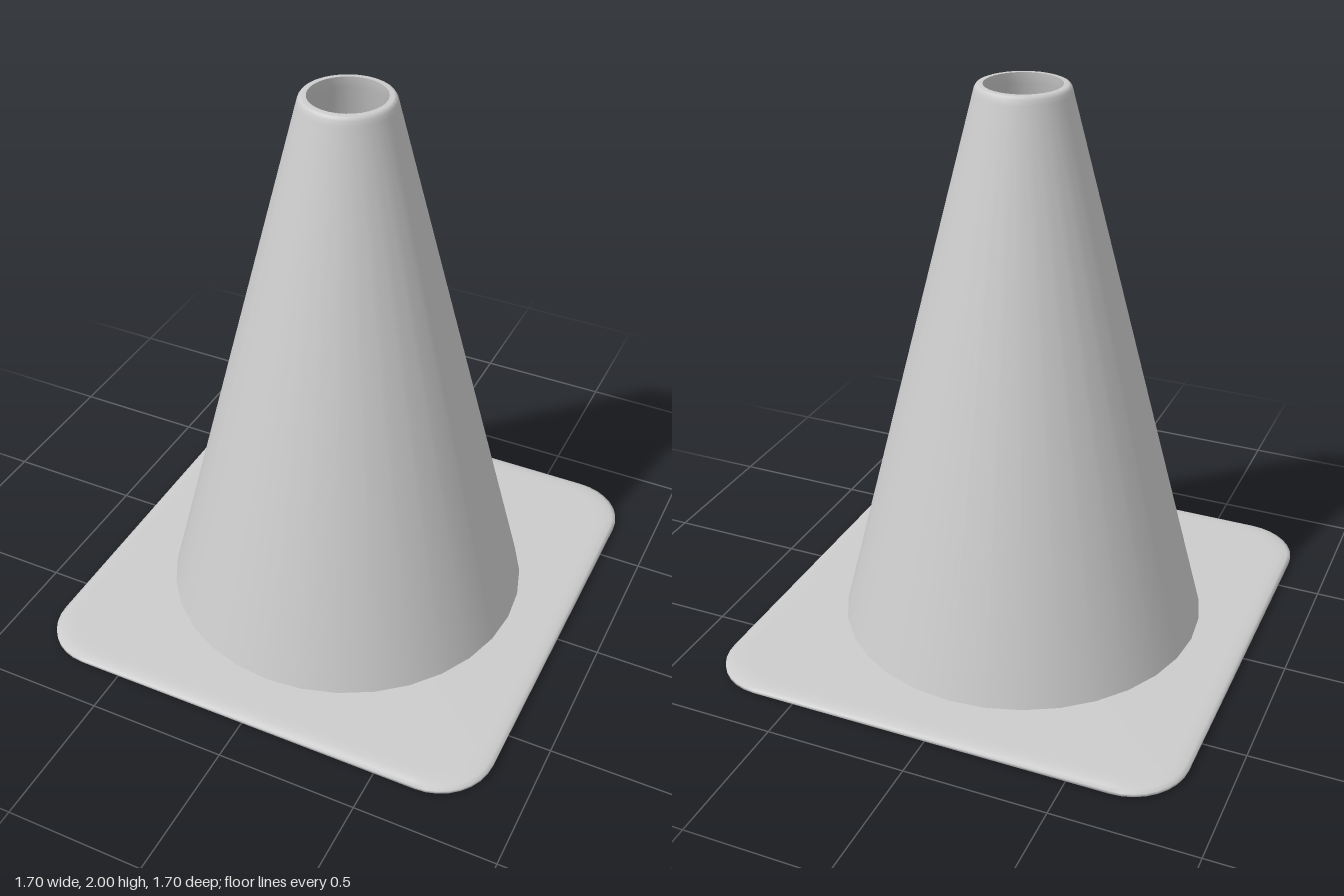
import * as THREE from 'three';

// Outline of a rounded square as [x, z] points, running from +x towards +z
function roundedSquare(half, radius, steps) {
  const points = [];
  for (let corner = 0; corner < 4; corner++) {
    const mid = (corner + 0.5) * Math.PI / 2;
    const cx = Math.sign(Math.cos(mid)) * (half - radius);
    const cz = Math.sign(Math.sin(mid)) * (half - radius);
    for (let i = 0; i <= steps; i++) {
      const a = (corner + i / steps) * Math.PI / 2;
      points.push([cx + radius * Math.cos(a), cz + radius * Math.sin(a)]);
    }
  }
  return points;
}

// Stacks scaled copies of the outline; rings are [half width, y], bottom to top
function slab(rings, capTop, capBottom) {
  const outline = roundedSquare(1, 0.235, 8);
  const n = outline.length;
  const positions = [];
  const index = [];
  for (const [s, y] of rings) {
    for (const [x, z] of outline) positions.push(x * s, y, z * s);
  }
  for (let r = 0; r < rings.length - 1; r++) {
    for (let i = 0; i < n; i++) {
      const j = (i + 1) % n;
      const a = r * n, b = a + n;
      index.push(a + i, b + i, a + j, a + j, b + i, b + j);
    }
  }
  const cap = (ring, up) => {
    const start = ring * n;
    const centre = positions.length / 3;
    positions.push(0, rings[ring][1], 0);
    for (let i = 0; i < n; i++) {
      const j = (i + 1) % n;
      if (up) index.push(centre, start + j, start + i);
      else index.push(centre, start + i, start + j);
    }
  };
  if (capTop) cap(rings.length - 1, true);
  if (capBottom) cap(0, false);
  const geometry = new THREE.BufferGeometry();
  geometry.setAttribute('position', new THREE.Float32BufferAttribute(positions, 3));
  geometry.setIndex(index);
  geometry.computeVertexNormals();
  return geometry;
}

const lathe = (profile) =>
  new THREE.LatheGeometry(profile.map(([x, y]) => new THREE.Vector2(x, y)), 32);

export function createModel() {
  const group = new THREE.Group();
  const grey = new THREE.MeshStandardMaterial({ color: 0xcccccc });
  grey.name = 'light grey';

  const add = (name, geometry) => {
    const mesh = new THREE.Mesh(geometry, grey);
    mesh.name = name;
    group.add(mesh);
  };

  // Thin square foot with softened edges
  add('basePlate', slab([
    [0.768, 0], [0.842, 0.002], [0.85, 0.006], [0.85, 0.017],
    [0.838, 0.024], [0.815, 0.028], [0.78, 0.03],
  ], true, false));

  // Flat underside
  add('baseUnderside', slab([[0.768, 0]], false, true));

  // Tapered outer wall with a rounded lip
  add('coneWall', lathe([
    [0.655, 0.028], [0.162, 1.972], [0.158, 1.988], [0.152, 1.997], [0.145, 2], [0.13, 2],
  ]));

  // Hollow inside, from the lip down to the foot
  add('coneInside', lathe([[0.13, 2], [0.135, 1.96], [0.625, 0.03]]));

  return group;
}
